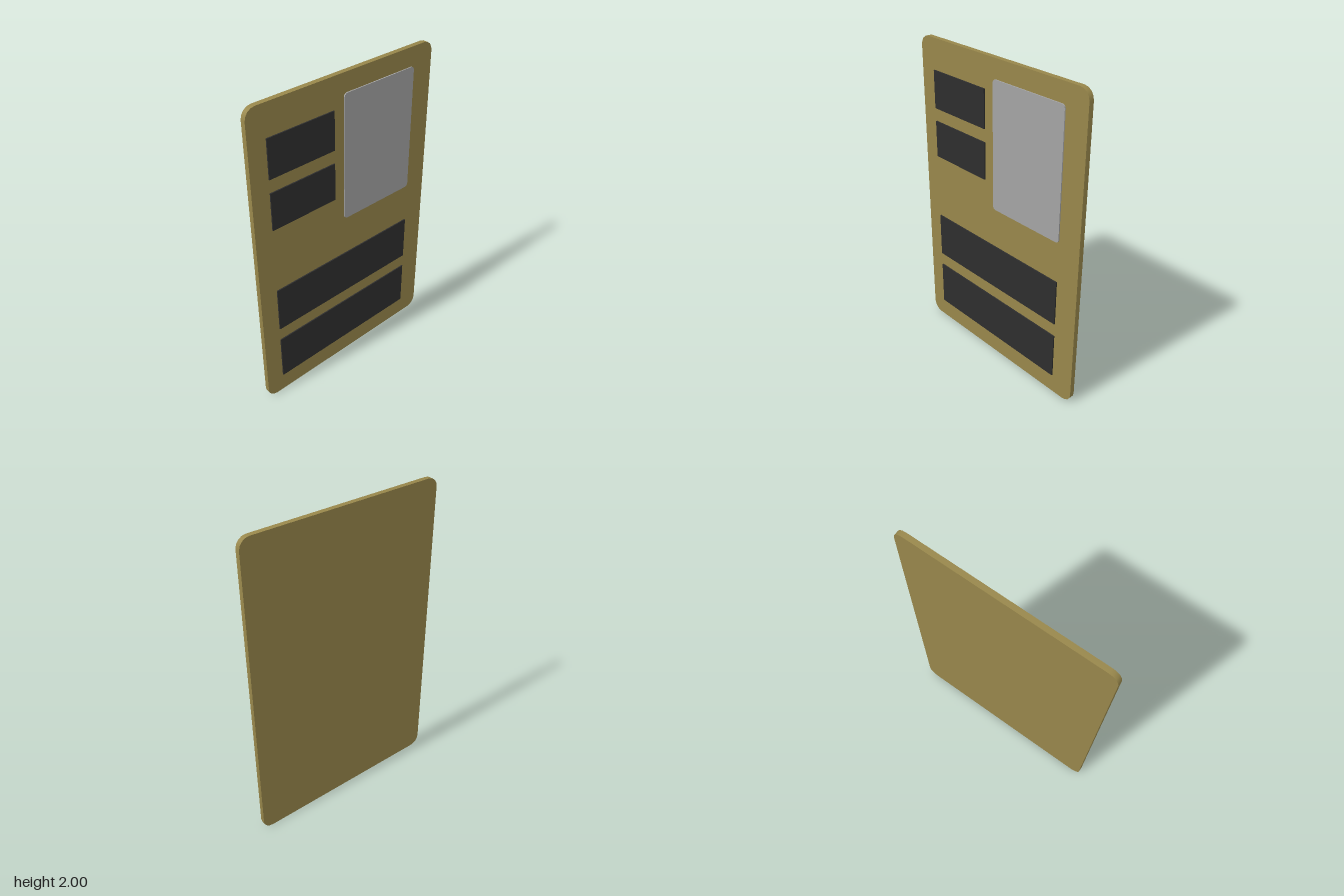
import * as THREE from 'three';
import { toCreasedNormals } from 'three/addons/utils/BufferGeometryUtils.js';

// Rounded rectangle plate between x0..x1, y0..y1 and z0..z1
function roundedPlate(x0, x1, y0, y1, z0, z1, r) {
  const s = new THREE.Shape();
  s.absarc(x1 - r, y0 + r, r, -Math.PI / 2, 0);
  s.absarc(x1 - r, y1 - r, r, 0, Math.PI / 2);
  s.absarc(x0 + r, y1 - r, r, Math.PI / 2, Math.PI);
  s.absarc(x0 + r, y0 + r, r, Math.PI, Math.PI * 1.5);
  s.closePath();
  const g = new THREE.ExtrudeGeometry(s, { depth: z1 - z0, bevelEnabled: false, curveSegments: 2 });
  g.translate(0, 0, z0);
  return toCreasedNormals(g, 0.7);
}

export function createModel() {
  const group = new THREE.Group();
  const material = (name, color) => {
    const m = new THREE.MeshStandardMaterial({ color });
    m.name = name;
    return m;
  };
  const tan = material('tan card', 0x98874b);
  const grey = material('grey photo', 0xa4a4a4);
  const dark = material('dark print', 0x2e2e2e);

  const add = (name, geometry, mat) => {
    const mesh = new THREE.Mesh(geometry, mat);
    mesh.name = name;
    group.add(mesh);
  };

  // Card body and photo panel
  add('cardBody', roundedPlate(-0.665, 0.665, 0, 2, -0.02, 0.012, 0.065), tan);
  add('photoPanel', roundedPlate(-0.024, 0.515, 1.077, 1.882, 0.011, 0.019, 0.022), grey);

  // Printed blocks: name, x0, x1, y0, y1
  const blocks = [
    ['upperShortBlock', -0.55, -0.097, 1.567, 1.807],
    ['lowerShortBlock', -0.55, -0.097, 1.245, 1.483],
    ['upperLongBlock', -0.55, 0.513, 0.52, 0.817],
    ['lowerLongBlock', -0.55, 0.513, 0.128, 0.43],
  ];
  for (const [name, x0, x1, y0, y1] of blocks) {
    const g = new THREE.BoxGeometry(x1 - x0, y1 - y0, 0.009);
    g.translate((x0 + x1) / 2, (y0 + y1) / 2, 0.0155);
    add(name, g, dark);
  }
  return group;
}
